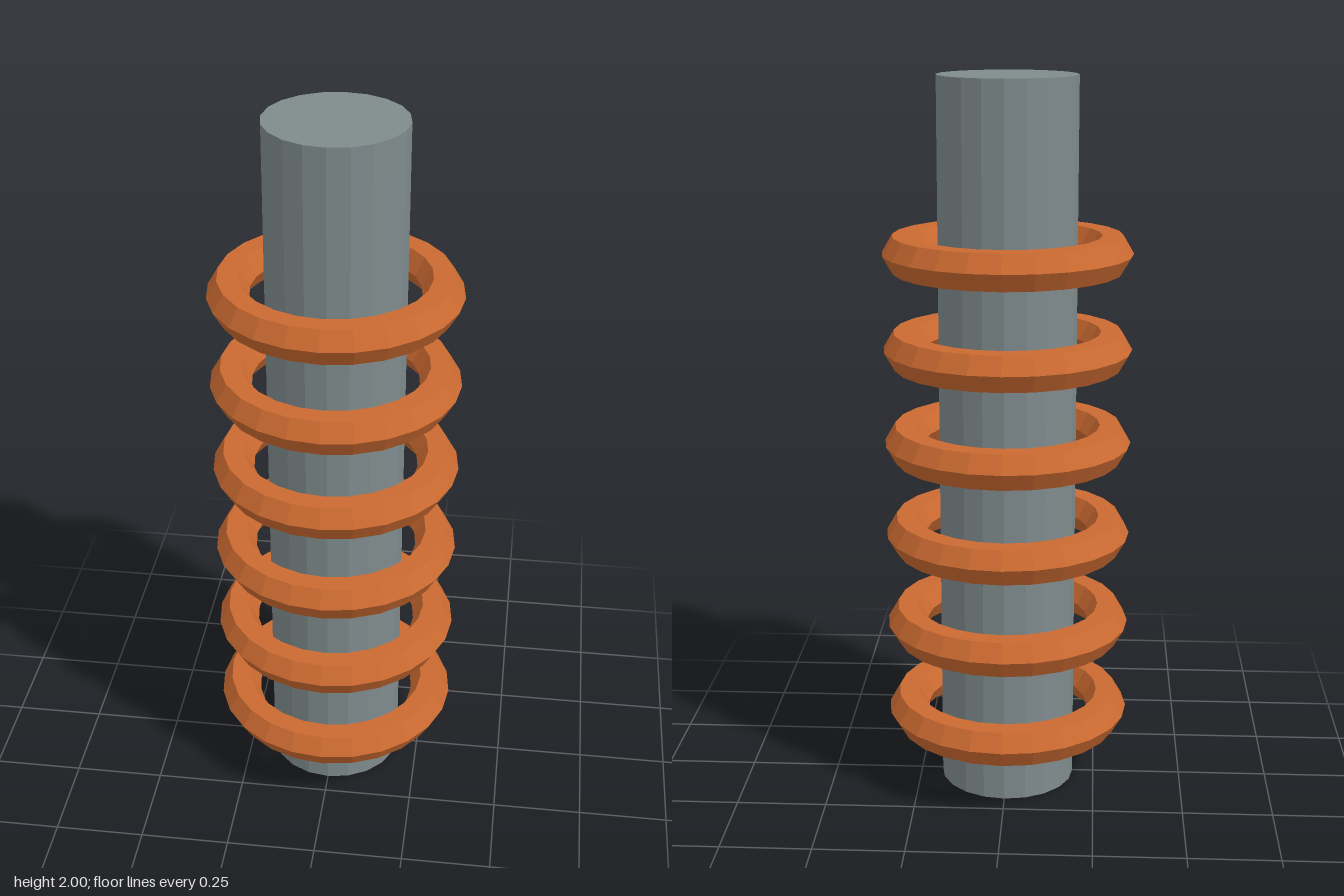
import * as THREE from 'three';

export function createModel() {
  const model = new THREE.Group();
  const steel = new THREE.MeshStandardMaterial({ color: 0x7f8a8c, flatShading: true });
  const copper = new THREE.MeshStandardMaterial({ color: 0xcb6a31, flatShading: true });

  // Central rod
  const core = new THREE.Mesh(new THREE.CylinderGeometry(0.1895, 0.1895, 2, 20), steel);
  core.name = 'coreRod';
  core.position.y = 1;
  model.add(core);

  // Evenly spaced hexagonal-section rings floating around the rod
  const ringGeometry = new THREE.TorusGeometry(0.284, 0.0568, 6, 24).rotateX(-Math.PI / 2);
  const rings = new THREE.Group();
  rings.name = 'coilRings';
  for (let i = 0; i < 6; i++) {
    const ring = new THREE.Mesh(ringGeometry, copper);
    ring.name = `coilRing${i + 1}`;
    ring.position.y = 0.2115 + i * 0.2632;
    rings.add(ring);
  }
  model.add(rings);

  return model;
}
